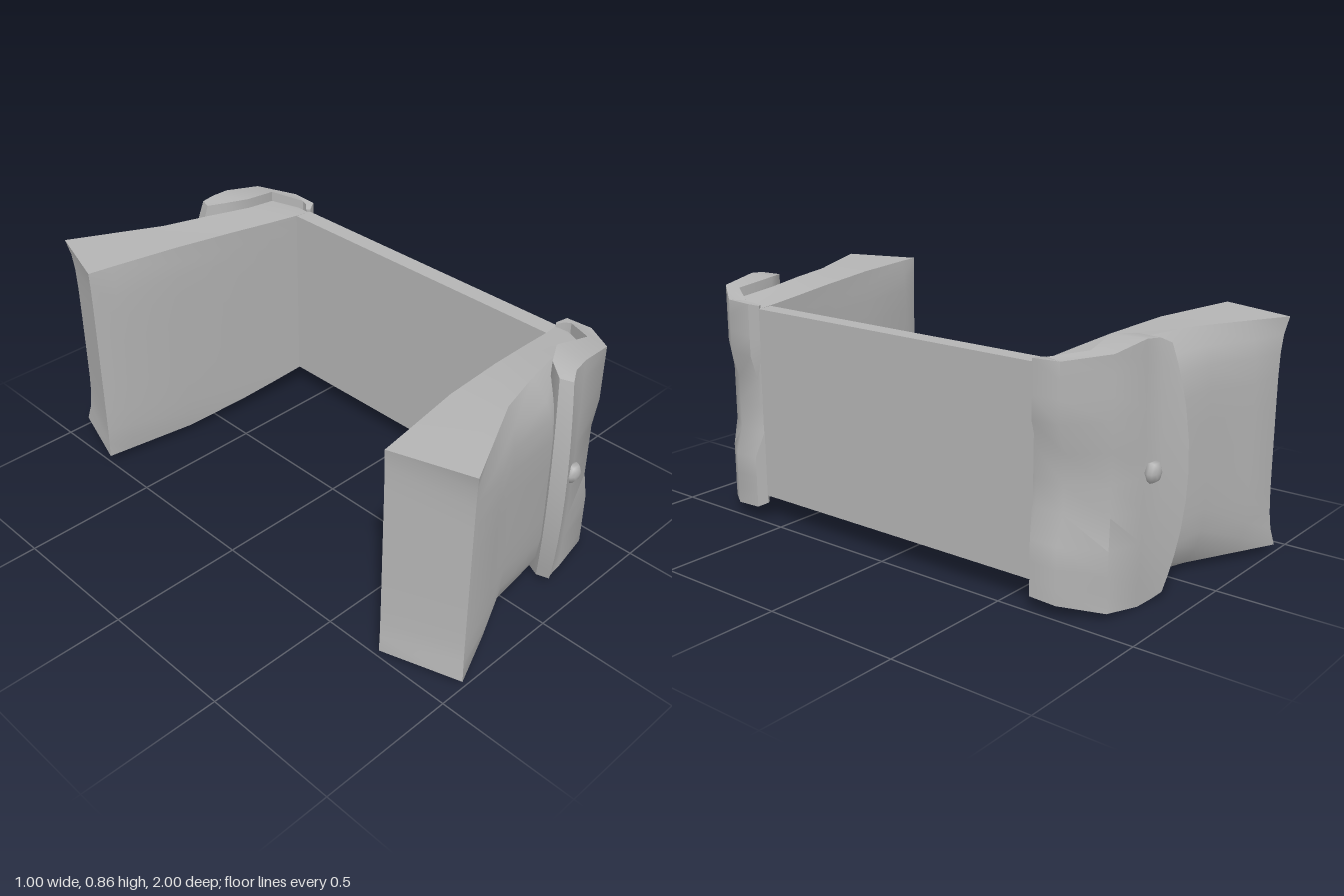
import * as THREE from 'three';
import { toCreasedNormals } from 'three/addons/utils/BufferGeometryUtils.js';

const ROWS = [-1, -0.85, -0.7, -0.5, -0.25, 0, 0.25, 0.5, 0.7, 0.85, 1];
const lerp = THREE.MathUtils.lerp;

// Thick plate: columns run along the part, rows run up it.
// point(column, v, outer) gives [x, y, z]; side -1 mirrors the plate in z.
function plate(columns, point, side) {
  const R = ROWS.length, n = 2 * R, pos = [], idx = [];
  for (const c of columns) {
    for (let j = 0; j < n; j++) {
      const outer = j < R;
      const [x, y, z] = point(c, ROWS[outer ? j : n - 1 - j], outer);
      pos.push(x, y, z * side);
    }
  }
  const tri = (a, b, c) => (side > 0 ? idx.push(a, b, c) : idx.push(a, c, b));
  const quad = (a, b, c, d) => { tri(a, b, c); tri(a, c, d); };
  const last = (columns.length - 1) * n;
  for (let i = 0; i < last; i += n) {
    for (let j = 0; j < n; j++) {
      const k = (j + 1) % n;
      quad(i + j, i + n + j, i + n + k, i + k);
    }
  }
  // End caps
  for (let r = 0; r < R - 1; r++) {
    const p = n - 1 - r;
    quad(r, r + 1, p - 1, p);
    quad(last + r, last + p, last + p - 1, last + r + 1);
  }
  const g = new THREE.BufferGeometry();
  g.setAttribute('position', new THREE.Float32BufferAttribute(pos, 3));
  g.setIndex(idx);
  return toCreasedNormals(g, 0.8);
}

// Arm columns: outer ridge and outer middle, inner edge and inner middle [x, z],
// then half heights of the outer and inner faces
const ARM = [
  { ridge: [-0.41, 1.0], mid: [-0.39, 0.982], edge: [-0.5, 0.724], inMid: [-0.497, 0.724], h: [0.402, 0.402] },
  { ridge: [-0.26, 0.925], mid: [-0.26, 0.965], edge: [-0.41, 0.71], inMid: [-0.41, 0.692], h: [0.403, 0.402] },
  { ridge: [-0.08, 0.835], mid: [-0.1, 0.892], edge: [-0.15, 0.667], inMid: [-0.15, 0.66], h: [0.404, 0.4] },
  { ridge: [0.1, 0.785], mid: [0.1, 0.885], edge: [0.1, 0.638], inMid: [0.1, 0.636], h: [0.401, 0.382] },
  { ridge: [0.27, 0.745], mid: [0.25, 0.8], edge: [0.27, 0.622], inMid: [0.27, 0.621], h: [0.39, 0.365] },
  { ridge: [0.4, 0.755], mid: [0.39, 0.765], edge: [0.4, 0.612], inMid: [0.4, 0.612], h: [0.37, 0.352] },
  { ridge: [0.455, 0.66], mid: [0.455, 0.66], edge: [0.455, 0.606], inMid: [0.455, 0.606], h: [0.352, 0.35] },
];
function armPoint(c, v, outer) {
  const w = 1 - Math.abs(v) ** 6;
  const [a, b] = outer ? [c.ridge, c.mid] : [c.edge, c.inMid];
  const h = c.h[outer ? 0 : 1];
  return [lerp(a[0], b[0], w), lerp(0.44, 0.432, (h - 0.35) / 0.05) + v * h, lerp(a[1], b[1], w)];
}

// Sleeve columns: outer face at top and at middle, inner face at top and at middle
const SLEEVE = [
  { top: [0.165, 0.895], mid: [0.12, 0.945], in: [0.15, 0.85], inMid: [0.105, 0.89], h: 0.405 },
  { top: [0.2, 0.875], mid: [0.2, 0.897], in: [0.19, 0.79], inMid: [0.17, 0.8], h: 0.424 },
  { top: [0.26, 0.865], mid: [0.26, 0.872], in: [0.27, 0.745], inMid: [0.27, 0.745], h: 0.43 },
  { top: [0.405, 0.845], mid: [0.39, 0.838], in: [0.41, 0.765], inMid: [0.38, 0.765], h: 0.408, dent: true },
  { top: [0.498, 0.72], mid: [0.469, 0.72], in: [0.475, 0.655], inMid: [0.45, 0.655], h: 0.384, dent: true },
  { top: [0.498, 0.62], mid: [0.469, 0.62], in: [0.468, 0.63], inMid: [0.45, 0.63], h: 0.38, dent: true },
  { top: [0.464, 0.602], mid: [0.464, 0.602], in: [0.45, 0.61], inMid: [0.45, 0.61], h: 0.37, dent: true },
];
function sleevePoint(c, v, outer) {
  // The corner is pinched at half height; the rim bows gently
  const w = c.dent ? THREE.MathUtils.clamp((0.5 - Math.abs(v)) / 0.25, 0, 1) : 1 - v * v;
  const [a, b] = outer ? [c.top, c.mid] : [c.in, c.inMid];
  return [lerp(a[0], b[0], w), 0.431 + v * c.h, lerp(a[1], b[1], w)];
}

export function createModel() {
  const model = new THREE.Group();
  const grey = new THREE.MeshStandardMaterial({ color: 0xb4b4b4 });
  grey.name = 'grey';
  const add = (name, geometry) => {
    const mesh = new THREE.Mesh(geometry, grey);
    mesh.name = name;
    model.add(mesh);
    return mesh;
  };

  // Long panel joining the two arms
  add('crossPanel', new THREE.BoxGeometry(0.065, 0.7, 1.224)).position.set(0.4325, 0.44, 0);

  // Flared arm, wrapped corner sleeve and rivet at each end
  for (const [side, end] of [[1, 'front'], [-1, 'back']]) {
    add(end + 'Arm', plate(ARM, armPoint, side));
    add(end + 'Sleeve', plate(SLEEVE, sleevePoint, side));
    const rivet = new THREE.SphereGeometry(0.035, 6, 6).rotateX(Math.PI / 2).scale(1, 1.1, 0.7);
    add(end + 'Rivet', rivet).position.set(0.235, 0.445, 0.888 * side);
  }
  return model;
}
